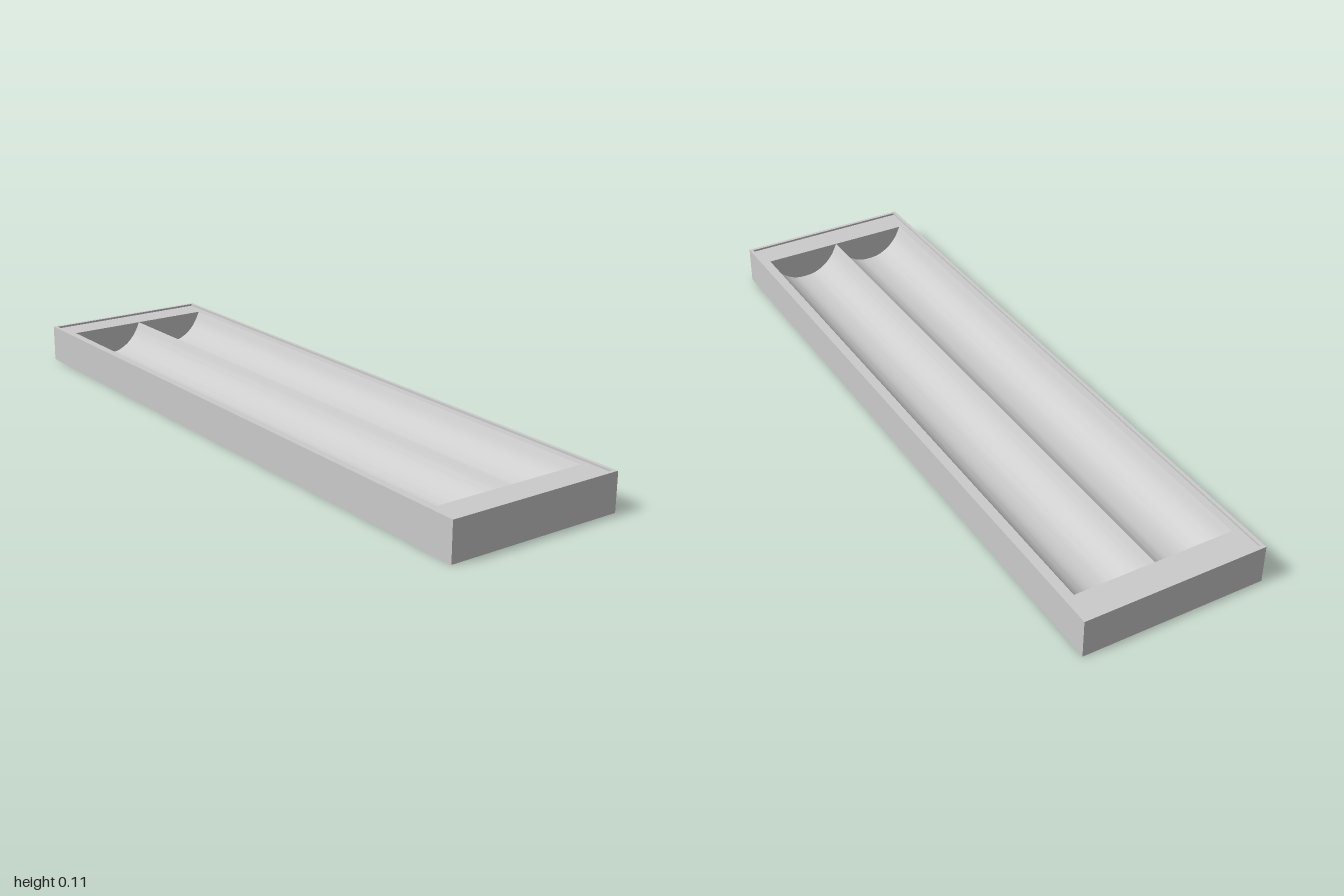
import * as THREE from 'three';
import { toCreasedNormals } from 'three/addons/utils/BufferGeometryUtils.js';

const LENGTH = 2, DEPTH = 0.535, HEIGHT = 0.112;
const WALL = 0.01, BASE = 0.006;
const CAP_INNER = 0.905;   // inner face of the end caps
const TOP = HEIGHT - 0.006; // caps and reflector ridge sit just under the rim

export function createModel() {
  const model = new THREE.Group();
  model.name = 'twinTroughLightFixture';
  const material = new THREE.MeshStandardMaterial({ color: 0xcccccc });

  function add(name, geometry, x = 0, y = 0, z = 0) {
    const mesh = new THREE.Mesh(geometry, material);
    mesh.name = name;
    mesh.position.set(x, y, z);
    model.add(mesh);
  }

  function rectangle(path, w, h) {
    path.moveTo(-w / 2, -h / 2);
    path.lineTo(w / 2, -h / 2);
    path.lineTo(w / 2, h / 2);
    path.lineTo(-w / 2, h / 2);
    path.closePath();
    return path;
  }

  // Housing: closed base and a thin wall all round
  add('housingBase', new THREE.BoxGeometry(LENGTH, BASE, DEPTH), 0, BASE / 2, 0);
  const frame = rectangle(new THREE.Shape(), LENGTH, DEPTH);
  frame.holes.push(rectangle(new THREE.Path(), LENGTH - 2 * WALL, DEPTH - 2 * WALL));
  const walls = new THREE.ExtrudeGeometry(frame, { depth: HEIGHT - BASE, bevelEnabled: false });
  walls.rotateX(-Math.PI / 2);
  add('housingWalls', walls, 0, BASE, 0);

  // End caps covering the sockets
  const capLength = LENGTH / 2 - WALL - CAP_INNER;
  for (const side of [1, -1]) {
    add(side > 0 ? 'leftEndCap' : 'rightEndCap',
      new THREE.BoxGeometry(capLength, TOP - BASE, DEPTH - 2 * WALL),
      side * (CAP_INNER + capLength / 2), (TOP + BASE) / 2, 0);
  }

  // Reflector: two curved troughs meeting in a sharp central ridge
  const trough = 0.235, edge = DEPTH / 2 - WALL;
  const curve = new THREE.SplineCurve([
    [0, 0], [0.018, 0.035], [0.045, 0.064], [0.08, 0.083], [0.1175, 0.088],
    [0.155, 0.083], [0.19, 0.064], [0.217, 0.035], [trough, 0],
  ].map(([u, d]) => new THREE.Vector2(u, TOP - d)));
  const section = curve.getPoints(40);
  const profile = new THREE.Shape();
  profile.moveTo(-edge, BASE);
  profile.lineTo(edge, BASE);
  profile.lineTo(edge, TOP);
  for (const p of [...section].reverse()) profile.lineTo(p.x, p.y);
  for (const p of section.slice(1)) profile.lineTo(-p.x, p.y);
  profile.lineTo(-edge, TOP);
  profile.closePath();
  const reflector = new THREE.ExtrudeGeometry(profile, { depth: 2 * CAP_INNER, bevelEnabled: false });
  reflector.translate(0, 0, -CAP_INNER);
  reflector.rotateY(Math.PI / 2);
  add('reflector', toCreasedNormals(reflector, 0.5));

  return model;
}
